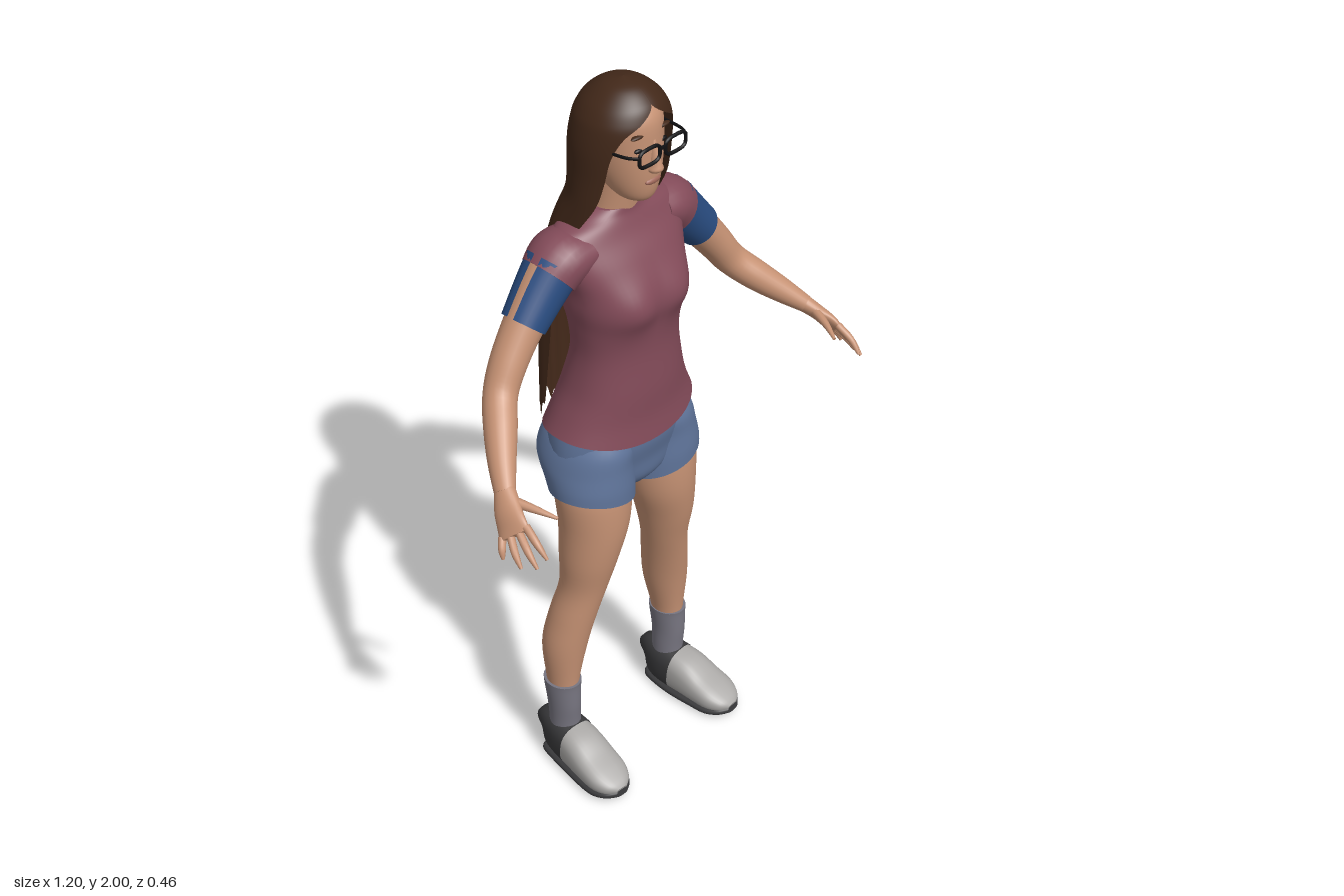
import * as THREE from 'three';

const mat = (name, color, side = THREE.FrontSide) => {
  const m = new THREE.MeshStandardMaterial({ color, side });
  m.name = name;
  return m;
};

// Catmull-Rom resampling of rows of numbers
function smooth(rows, k = 5) {
  const out = [], n = rows.length - 1;
  for (let i = 0; i < n; i++) {
    const [a, b, c, d] = [rows[Math.max(i - 1, 0)], rows[i], rows[i + 1], rows[Math.min(i + 2, n)]];
    for (let s = 0; s < k; s++) {
      const t = s / k;
      out.push(b.map((v, j) => v + 0.5 * t * (c[j] - a[j]
        + t * (2 * a[j] - 5 * v + 4 * c[j] - d[j] + t * (3 * (v - c[j]) + d[j] - a[j])))));
    }
  }
  out.push(rows[n]);
  return out;
}

const pow = (v, p) => Math.sign(v) * Math.abs(v) ** p;

// Joins rings of points into a surface; closed rings get flat caps
function skin(rings, closed = true) {
  if (closed) {
    const cap = r => {
      const c = r.reduce((s, p) => s.add(p), new THREE.Vector3()).divideScalar(r.length);
      return r.map(() => c);
    };
    const a = rings[0], b = rings[rings.length - 1];
    rings = [cap(a), a, ...rings, b, cap(b)];
  }
  const n = rings[0].length, idx = [];
  for (let i = 0; i < rings.length - 1; i++) {
    for (let j = 0; j < (closed ? n : n - 1); j++) {
      const a = i * n + j, b = i * n + (j + 1) % n;
      idx.push(a, b, b + n, a, b + n, a + n);
    }
  }
  const g = new THREE.BufferGeometry();
  g.setAttribute('position', new THREE.Float32BufferAttribute(rings.flat().flatMap(p => p.toArray()), 3));
  g.setIndex(idx);
  g.computeVertexNormals();
  return g;
}

// Level cross-sections, listed upwards: [x, y, z, rx, rz, squareness]
function stack(rows, rule = p => p, seg = 40) {
  return skin(smooth(rows).map(([x, y, z, rx, rz, p = 1]) => Array.from({ length: seg }, (_, j) => {
    const a = j / seg * Math.PI * 2;
    return rule(new THREE.Vector3(x + rx * pow(Math.sin(a), p), y, z + rz * pow(Math.cos(a), p)));
  })));
}

// Cross-sections square to a path: [x, y, z, ru, rv]; slit leaves a gap along the outer side
function limb(rows, { seg = 24, ref = [0, 0, 1], p = 1, slit = 0 } = {}) {
  const pts = smooth(rows), at = i => new THREE.Vector3(...pts[Math.min(Math.max(i, 0), pts.length - 1)].slice(0, 3));
  return skin(pts.map((r, i) => {
    const t = at(i + 1).sub(at(i - 1)).normalize(), n = new THREE.Vector3(...ref);
    n.addScaledVector(t, -n.dot(t)).normalize();
    const b = t.clone().cross(n);
    return Array.from({ length: slit ? seg + 1 : seg }, (_, j) => {
      const a = Math.PI * 1.5 + slit + j / seg * (Math.PI * 2 - 2 * slit);
      return at(i).addScaledVector(b, r[3] * pow(Math.sin(a), p)).addScaledVector(n, r[4] * pow(Math.cos(a), p));
    });
  }), !slit);
}

const ball = (x, y, z, rx, ry, rz) => new THREE.SphereGeometry(1, 16, 12).scale(rx, ry, rz).translate(x, y, z);

function mirrored(geo) {
  const g = geo.clone().scale(-1, 1, 1), ix = g.index.array;
  for (let i = 0; i < ix.length; i += 3) [ix[i], ix[i + 1]] = [ix[i + 1], ix[i]];
  return g;
}

export function createModel() {
  const group = new THREE.Group();
  const skinTone = mat('skin', 0xc69274), brown = mat('hair brown', 0x422819, THREE.DoubleSide);
  const maroon = mat('maroon shirt', 0x834b59), blue = mat('blue sleeve', 0x294c80, THREE.DoubleSide);
  const denim = mat('denim', 0x60759b), sockGrey = mat('sock grey', 0x777580);
  const shoeGrey = mat('shoe grey', 0xaaa8a6), dark = mat('dark sole', 0x39393b);
  const black = mat('black frame', 0x111113), lip = mat('lip', 0xa0685a);
  const add = (name, geo, m) => {
    const mesh = new THREE.Mesh(geo, m);
    mesh.name = name;
    group.add(mesh);
  };
  const both = (name, geo, m) => {
    add(name + 'Left', geo, m);
    add(name + 'Right', mirrored(geo), m);
  };

  // Head, neck and face
  add('head', stack([[0, 1.705, -.02, .015, .025], [0, 1.72, -.025, .042, .048], [0, 1.75, -.04, .062, .073],
    [0, 1.8, -.055, .078, .093], [0, 1.86, -.06, .085, .098], [0, 1.92, -.065, .084, .098],
    [0, 1.955, -.065, .06, .07], [0, 1.975, -.065, .02, .02]]), skinTone);
  add('neck', stack([[0, 1.62, -.1, .075, .06], [0, 1.67, -.09, .062, .056], [0, 1.76, -.075, .055, .055]]), skinTone);
  add('nose', stack([[0, 1.793, .036, .01, .008], [0, 1.803, .038, .019, .021], [0, 1.82, .037, .014, .019],
    [0, 1.865, .032, .008, .01], [0, 1.885, .028, .006, .006]], undefined, 16), skinTone);
  add('lips', ball(0, 1.77, .032, .025, .009, .008), lip);
  both('eye', ball(.038, 1.858, .025, .014, .006, .006), black);
  both('eyebrow', ball(.04, 1.893, .024, .022, .005, .008), brown);

  // Glasses
  const rim = Array.from({ length: 16 }, (_, i) => {
    const a = i / 16 * Math.PI * 2;
    return new THREE.Vector3(.042 + .033 * pow(Math.cos(a), .6), 1.86 + .021 * pow(Math.sin(a), .6), .062);
  });
  both('glassesRim', new THREE.TubeGeometry(new THREE.CatmullRomCurve3(rim, true), 48, .0045, 6, true), black);
  both('glassesTemple', limb([[.076, 1.868, .062, .003, .004], [.092, 1.866, .03, .003, .004], [.1, 1.862, -.05, .003, .004]],
    { seg: 6, ref: [0, 1, 0] }), black);
  add('glassesBridge', new THREE.BoxGeometry(.022, .006, .006).translate(0, 1.866, .062), black);

  // Long hair: open sections wrapping the head from behind [y, z, rx, rz, face opening in degrees, squareness]
  const hairRows = smooth([[1.1, -.18, .158, .042, 90, .55], [1.3, -.168, .156, .06, 88, .55], [1.5, -.155, .15, .073, 85, .6],
    [1.6, -.133, .141, .082, 80, .7], [1.66, -.105, .135, .098, 73, .8], [1.72, -.08, .13, .11, 65, 1],
    [1.78, -.073, .126, .115, 60, 1], [1.85, -.07, .124, .117, 54, 1], [1.9, -.066, .116, .114, 42, 1],
    [1.93, -.064, .105, .106, 20, 1], [1.96, -.062, .083, .088, 0, 1], [1.988, -.06, .046, .05, 0, 1], [2, -.06, 0, 0, 0, 1]], 6);
  add('hair', skin(hairRows.map(([y, z, rx, rz, open, p]) => Array.from({ length: 121 }, (_, j) => {
    const o = Math.max(open, 0) * Math.PI / 180, a = o + j / 120 * (Math.PI * 2 - 2 * o);
    const low = THREE.MathUtils.clamp((1.75 - y) / .3, 0, 1), tip = THREE.MathUtils.clamp((1.3 - y) / .2, 0, 1);
    const k = 1 + .025 * low * Math.sin(a * 31);
    return new THREE.Vector3(rx * pow(Math.sin(a), p), y + tip * .025 * Math.sin(a * 19) * Math.sin(a * 7 + 1),
      z + k * rz * pow(Math.cos(a), p));
  })), false), brown);

  // Shirt with bust and a hem that dips in the middle
  add('shirt', stack([[0, 1.055, -.085, .212, .142, .9], [0, 1.12, -.08, .19, .13, .9], [0, 1.2, -.07, .165, .12, .9],
    [0, 1.3, -.06, .147, .105, .9], [0, 1.38, -.06, .151, .108, .88], [0, 1.44, -.065, .16, .118, .85],
    [0, 1.5, -.073, .167, .118, .85], [0, 1.56, -.085, .188, .105, .9], [0, 1.61, -.095, .203, .085, 1],
    [0, 1.64, -.1, .175, .075, 1], [0, 1.66, -.1, .115, .067, 1], [0, 1.676, -.097, .074, .062, 1]], v => {
    if (v.z > -.05) v.z += .024 * Math.exp(-((Math.abs(v.x) - .072) ** 2) / .005 - (v.y - 1.45) ** 2 / .004);
    v.y += .03 * (v.x / .2) ** 2 * Math.max(0, 1 - (v.y - 1.055) / .15);
    return v;
  }, 64), maroon);
  both('shoulder', limb([[.12, 1.595, -.1, .05, .08], [.17, 1.582, -.1, .068, .08], [.208, 1.552, -.1, .069, .071]]), maroon);
  both('sleeve', limb([[.19, 1.575, -.1, .067, .07], [.24, 1.52, -.1, .062, .063], [.295, 1.46, -.097, .055, .056]],
    { seg: 32, slit: .17 }), blue);

  // Arms and hands
  both('arm', limb([[.2, 1.565, -.1, .063, .06], [.24, 1.52, -.1, .058, .056], [.29, 1.465, -.097, .05, .05],
    [.35, 1.39, -.09, .045, .046], [.395, 1.325, -.075, .041, .042], [.44, 1.275, -.03, .039, .04],
    [.485, 1.23, .02, .032, .034], [.525, 1.19, .07, .022, .026]]), skinTone);
  both('palm', limb([[.52, 1.195, .064, .022, .026], [.545, 1.165, .1, .018, .037], [.56, 1.14, .13, .014, .043],
    [.567, 1.13, .143, .009, .038]]), skinTone);
  const fingers = {
    index: [[.547, 1.156, .16], [.552, 1.13, .2], [.55, 1.1, .23]],
    middle: [[.557, 1.142, .145], [.57, 1.112, .188], [.572, 1.08, .22]],
    ring: [[.567, 1.128, .128], [.584, 1.1, .16], [.59, 1.072, .186]],
    pinky: [[.577, 1.114, .112], [.592, 1.094, .126], [.597, 1.074, .134]],
    thumb: [[.53, 1.183, .09], [.506, 1.176, .155], [.485, 1.165, .2]],
  };
  for (const [name, [a, b, c]] of Object.entries(fingers)) {
    const w = name === 'thumb' ? .014 : .01;
    both(name + 'Finger', limb([[...a, w, w], [...b, .009, .009], [...c, .004, .004]], { seg: 10 }), skinTone);
  }

  // Shorts: hips and two legs with slanted hems
  add('shortsHips', stack([[0, .875, -.06, .04, .05], [0, .92, -.065, .14, .09], [0, .98, -.08, .203, .115],
    [0, 1.04, -.085, .207, .134], [0, 1.1, -.085, .198, .135]]), denim);
  both('shortsLeg', stack([[.117, .885, -.063, .109, .108], [.115, .93, -.072, .11, .118], [.111, .99, -.09, .108, .133],
    [.1, 1.04, -.088, .104, .13], [.09, 1.08, -.085, .09, .115]], v => {
    const k = Math.max(0, 1 - (v.y - .885) / .1);
    v.y += k * (.25 * (v.x - .117) + .1 * (v.z + .063));
    return v;
  }), denim);

  // Legs and socks
  both('leg', stack([[.2, .2, -.098, .038, .044], [.2, .28, -.1, .041, .047], [.19, .4, -.099, .059, .061],
    [.172, .5, -.085, .061, .064], [.15, .6, -.066, .061, .065], [.138, .7, -.056, .075, .079],
    [.122, .8, -.053, .09, .091], [.116, .9, -.06, .1, .098], [.112, .96, -.07, .095, .095]]), skinTone);
  both('sock', stack([[.2, .07, -.097, .04, .046], [.2, .14, -.096, .04, .045], [.202, .2, -.096, .041, .049],
    [.202, .26, -.1, .045, .053], [.202, .278, -.1, .046, .054]]), sockGrey);

  // Shoes: dark heel and sole, light front
  const shoe = { seg: 28, ref: [0, 1, 0], p: .75 };
  both('shoeHeel', limb([[.2, .066, -.152, .022, .045], [.2, .071, -.143, .04, .062], [.2, .072, -.1, .052, .068],
    [.203, .069, -.055, .056, .066]], shoe), dark);
  both('shoeFront', limb([[.203, .068, -.058, .055, .065], [.207, .064, -.02, .058, .059], [.212, .051, .03, .06, .045],
    [.216, .041, .08, .058, .033], [.218, .034, .115, .042, .021], [.219, .029, .132, .019, .011]], shoe), shoeGrey);
  both('shoeSole', limb([[.2, .013, -.152, .026, .013], [.2, .013, -.135, .046, .013], [.203, .013, -.055, .059, .013],
    [.212, .013, .03, .063, .013], [.216, .014, .08, .061, .013], [.218, .018, .115, .045, .012],
    [.219, .021, .135, .02, .009]], shoe), dark);

  return group;
}
